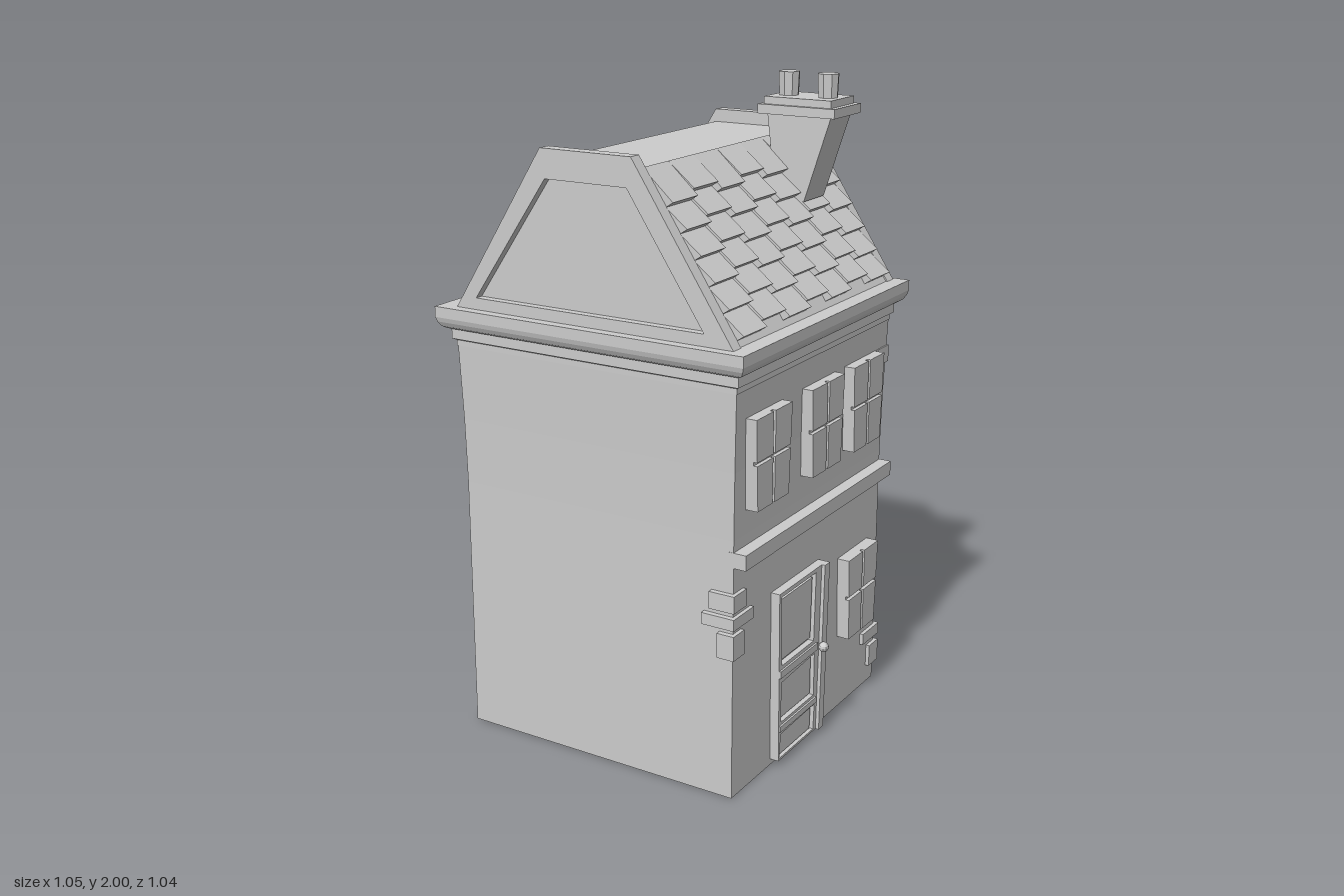
import * as THREE from 'three';

const material = new THREE.MeshStandardMaterial({ color: 0xcccccc, flatShading: true });

function outline(points, Type = THREE.Shape) {
  return new Type(points.map(([x, y]) => new THREE.Vector2(x, y)));
}

// Flat outline in x/y, pushed along z, with optional holes
function slab(points, z0, z1, holes = []) {
  const shape = outline(points);
  shape.holes = holes.map((h) => outline(h, THREE.Path));
  return new THREE.ExtrudeGeometry(shape, { depth: z1 - z0, bevelEnabled: false }).translate(0, 0, z0);
}

// Same for the street wall: outline in u/y (u = -z), pushed along x
const facade = (points, x0, x1, holes) => slab(points, x0, x1, holes).rotateY(Math.PI / 2);

// Box between two corners
function block(x0, x1, y0, y1, z0, z1) {
  return new THREE.BoxGeometry(x1 - x0, y1 - y0, z1 - z0)
    .translate((x0 + x1) / 2, (y0 + y1) / 2, (z0 + z1) / 2);
}

function add(parent, name, geometry) {
  const mesh = new THREE.Mesh(geometry, material);
  mesh.name = name;
  parent.add(mesh);
  return mesh;
}

function group(parent, name) {
  const g = new THREE.Group();
  g.name = name;
  parent.add(g);
  return g;
}

// Square tower shape from a profile of [half width, y]
function squareLathe(profile) {
  const points = profile.map(([h, y]) => new THREE.Vector2(h * Math.SQRT2, y));
  return new THREE.LatheGeometry(points, 4, Math.PI / 4).translate(-0.01, 0, 0);
}

// Window of four raised panes, slightly flared towards the top
function addWindow(parent, u, y) {
  const g = group(parent, 'window');
  const h = 0.27;
  const at = (s, t) => [u + s * (0.09 + 0.013 * t), y + t * h];
  add(g, 'windowBlock', facade([at(-1, 0), at(1, 0), at(1, 1), at(-1, 1)], 0.44, 0.484));
  for (const [s0, s1] of [[-1, -0.06], [0.06, 1]]) {
    for (const [t0, t1] of [[0, 0.5], [0.54, 1]]) {
      add(g, 'windowPane', facade([at(s0, t0), at(s1, t0), at(s1, t1), at(s0, t1)], 0.48, 0.496));
    }
  }
}

function addDoor(parent) {
  const g = group(parent, 'door');
  const leaf = [[-0.235, 0.02], [0.035, 0.02], [0.052, 0.565], [-0.245, 0.565]];
  const openings = [
    [[-0.222, 0.33], [-0.022, 0.33], [-0.016, 0.552], [-0.23, 0.552]],
    [[-0.222, 0.145], [-0.015, 0.145], [-0.015, 0.285], [-0.225, 0.275]],
    [[-0.23, 0.027], [-0.012, 0.027], [-0.008, 0.11], [-0.222, 0.105]],
  ];
  add(g, 'doorFrame', facade(leaf, 0.44, 0.484, openings));
  add(g, 'doorBack', facade(leaf, 0.44, 0.465));
  // Raised panels set inside each opening
  for (const o of openings) {
    const cx = (o[0][0] + o[1][0]) / 2;
    const cy = (o[0][1] + o[2][1]) / 2;
    add(g, 'doorPanel', facade(o.map(([x, y]) => [cx + (x - cx) * 0.91, cy + (y - cy) * 0.88]), 0.45, 0.476));
  }
  // Rails across the leaf and the post at its edge
  add(g, 'doorRail', block(0.47, 0.49, 0.295, 0.318, 0.005, 0.24));
  add(g, 'doorRail', block(0.47, 0.49, 0.118, 0.136, 0.005, 0.235));
  add(g, 'doorPost', facade([[0.005, 0.02], [0.035, 0.02], [0.052, 0.565], [0.02, 0.565]], 0.47, 0.495));
  const knob = add(g, 'doorKnob', new THREE.SphereGeometry(0.016, 10, 8));
  knob.position.set(0.506, 0.305, -0.003);
}

export function createModel() {
  const model = new THREE.Group();
  model.name = 'townHouse';

  // Walls and cornice
  add(model, 'walls', squareLathe([[0, 0], [0.465, 0], [0.465, 0.8], [0.468, 1], [0.475, 1.235], [0, 1.235]]));
  add(model, 'cornice', squareLathe([
    [0, 1.228], [0.477, 1.228], [0.477, 1.245], [0.487, 1.25], [0.487, 1.28], [0.495, 1.282],
    [0.508, 1.29], [0.516, 1.304], [0.52, 1.318], [0.52, 1.35], [0, 1.35],
  ]));

  // Roof body
  add(model, 'roof', slab([[-0.475, 1.32], [0.455, 1.32], [0.14, 1.8], [-0.16, 1.8]], -0.47, 0.45));

  // Gables with a recessed field
  const gable = [[-0.475, 1.345], [0.465, 1.345], [0.14, 1.84], [-0.16, 1.84]];
  const field = [[-0.4, 1.385], [0.37, 1.385], [0.125, 1.755], [-0.145, 1.755]];
  for (const [name, z0, z1, b0, b1] of [
    ['frontGable', 0.447, 0.488, 0.447, 0.462],
    ['backGable', -0.504, -0.463, -0.478, -0.463],
  ]) {
    const g = group(model, name);
    add(g, 'gableRim', slab(gable, z0, z1, [field]));
    add(g, 'gableField', slab(field, b0, b1));
  }

  // Overlapping tiles on the street slope: one sawtooth strip per column
  const tiles = group(model, 'roofTiles');
  const slope = new THREE.Vector2(0.315, -0.48).normalize();
  const onSlope = (along, off) => [
    0.14 + slope.x * along - slope.y * off,
    1.8 + slope.y * along + slope.x * off,
  ];
  const pitch = 0.081;
  const width = 0.908 / 7;
  for (let c = 0; c < 7; c++) {
    const shift = c % 2 ? 0.022 : 0;
    const profile = [onSlope(0, -0.01), onSlope(0, 0.012)];
    for (let r = 0; r < 6; r++) {
      const end = 0.105 + r * pitch - shift + 0.02;
      profile.push(onSlope(end, 0.045), onSlope(end, 0.018));
    }
    profile.push(onSlope(0.55, 0.018), onSlope(0.55, -0.01));
    const z = -0.463 + c * width;
    add(tiles, 'tileColumn', slab(profile.reverse(), z, z + width));
  }

  // Chimney, widening upwards, with cap and two pots
  const chimney = group(model, 'chimney');
  add(chimney, 'chimneyShaft', slab([[0.2, 1.66], [0.3, 1.625], [0.385, 1.885], [0.172, 1.885]], -0.332, -0.202));
  add(chimney, 'chimneyCap', block(0.15, 0.405, 1.88, 1.908, -0.354, -0.18));
  add(chimney, 'chimneyCapTop', block(0.165, 0.387, 1.908, 1.93, -0.342, -0.192));
  for (const x of [0.21, 0.34]) {
    const pot = add(chimney, 'chimneyPot', new THREE.CylinderGeometry(0.033, 0.03, 0.072, 8));
    pot.position.set(x, 1.964, -0.266);
  }

  // Street wall: windows, door and string course
  for (const [u, y] of [[-0.315, 0.875], [0.012, 0.875], [0.283, 0.875], [0.287, 0.25]]) addWindow(model, u, y);
  addDoor(model);
  add(model, 'stringCourse', block(0.44, 0.495, 0.72, 0.766, -0.466, 0.466));

  // Corner stones: [y0, y1, inner x, inner z, side]
  const stones = group(model, 'cornerStones');
  for (const [y0, y1, x, z, side] of [
    [0.59, 0.642, 0.385, 0.41, 1],
    [0.537, 0.572, 0.36, 0.367, 1],
    [0.445, 0.52, 0.412, 0.42, 1],
    [1.092, 1.145, 0.385, 0.4, -1],
    [0.155, 0.192, 0.36, 0.365, -1],
    [0.06, 0.132, 0.412, 0.415, -1],
  ]) {
    const [za, zb] = side > 0 ? [z, 0.482] : [-0.479, -z];
    add(stones, 'cornerStone', block(x, 0.467, y0, y1, za, zb));
  }

  return model;
}
